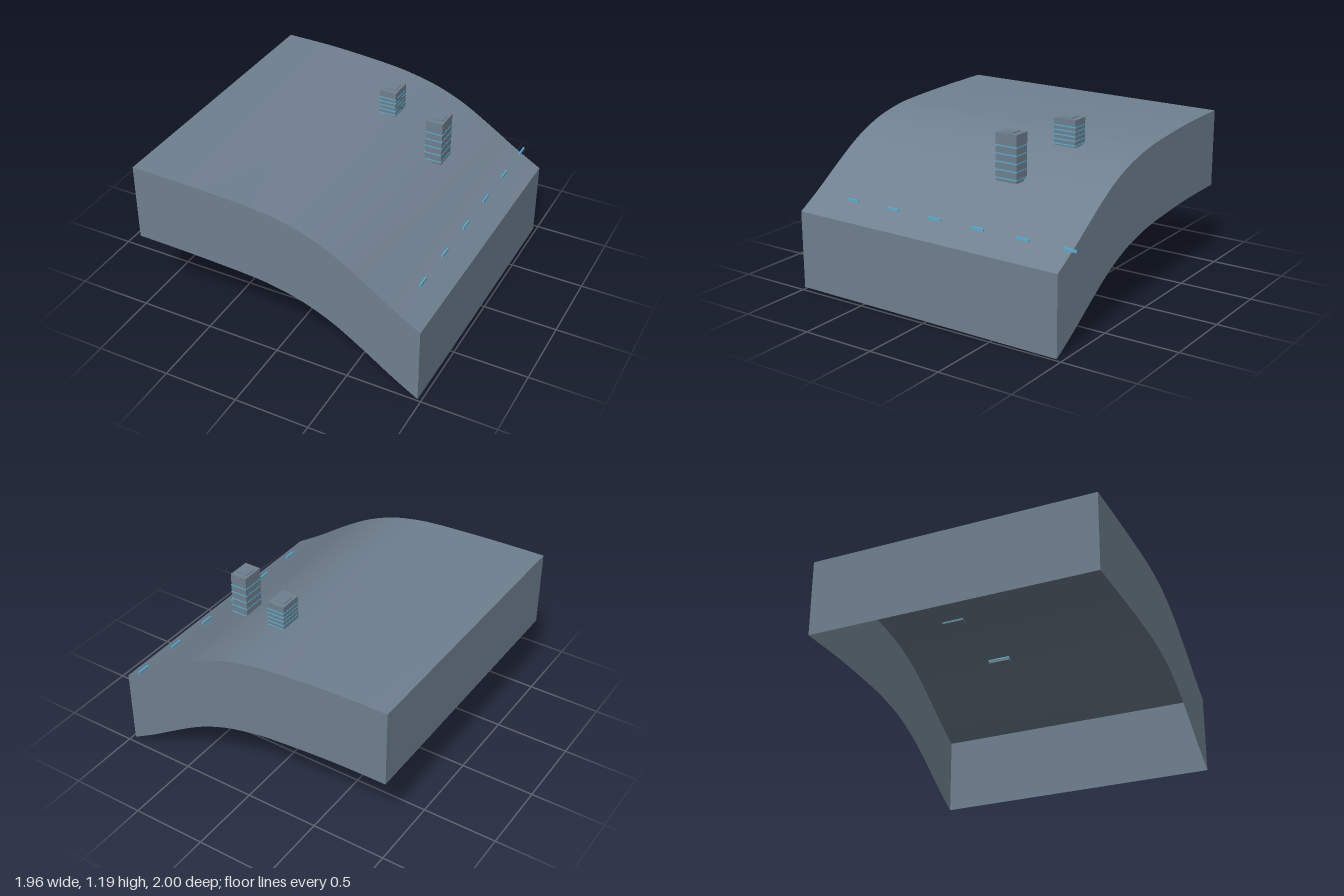
import * as THREE from 'three';

const slate = new THREE.MeshStandardMaterial({ color: 0x708090, side: THREE.DoubleSide });
slate.name = 'slate';
const skyBlue = new THREE.MeshStandardMaterial({ color: 0x5bb0d0 });
skyBlue.name = 'skyBlue';

const X0 = -0.98, X1 = 0.98, Z0 = -0.96, Z1 = 1, DEPTH = 0.523;

// Hillside profiles along the front and back edges: [x, height of lower rim]
const curve = (pts) => new THREE.SplineCurve(pts.map(([x, y]) => new THREE.Vector2(x, y)));
const frontRim = curve([[-0.98, 0.567], [-0.6, 0.56], [-0.2, 0.543], [0, 0.521], [0.2, 0.473],
  [0.4, 0.387], [0.6, 0.263], [0.8, 0.125], [0.98, 0.012]]);
const backRim = curve([[-0.98, 0.557], [-0.6, 0.55], [-0.2, 0.52], [0, 0.491], [0.2, 0.44],
  [0.4, 0.355], [0.6, 0.235], [0.8, 0.105], [0.98, 0]]);

// Point on the ground: u runs left to right, v runs back to front
function ground(u, v, drop = 0) {
  const f = frontRim.getPoint(u), b = backRim.getPoint(u);
  const x = THREE.MathUtils.lerp(b.x, f.x, v);
  const y = THREE.MathUtils.lerp(b.y, f.y, v);
  return [x, y + DEPTH - drop, THREE.MathUtils.lerp(Z0, Z1, v)];
}

// Sheet whose vertices follow a rule of (s, t), each from 0 to 1
function sheet(name, rule, sSteps, tSteps) {
  const geo = new THREE.PlaneGeometry(1, 1, sSteps, tSteps);
  const pos = geo.attributes.position;
  for (let i = 0; i < pos.count; i++) {
    pos.setXYZ(i, ...rule(pos.getX(i) + 0.5, pos.getY(i) + 0.5));
  }
  geo.computeVertexNormals();
  const mesh = new THREE.Mesh(geo, slate);
  mesh.name = name;
  return mesh;
}

function box(name, size, at, material) {
  const mesh = new THREE.Mesh(new THREE.BoxGeometry(...size), material);
  mesh.position.set(...at);
  mesh.name = name;
  return mesh;
}

// Tower block with a light band on every storey and a low roof plate
function tower(name, x, z, bottom, top) {
  const g = new THREE.Group();
  g.name = name;
  const w = 0.116, d = 0.156, h = top - bottom, storey = h / 6;
  g.add(box('towerBody', [w, h, d], [x, bottom + h / 2, z], slate));
  for (let i = 0; i < 5; i++) {
    g.add(box('windowBand', [w + 0.004, 0.008, d + 0.004],
      [x, bottom + storey * (i + 0.42), z], skyBlue));
  }
  g.add(box('roofPlate', [0.08, 0.006, 0.08], [x, top + 0.003, z], slate));
  return g;
}

export function createModel() {
  const model = new THREE.Group();
  model.name = 'hillsideBlock';

  // Curved ground and its four skirts, open underneath
  model.add(
    sheet('ground', (s, t) => ground(s, 1 - t), 64, 12),
    sheet('frontSkirt', (s, t) => ground(s, 1, DEPTH * (1 - t)), 64, 1),
    sheet('backSkirt', (s, t) => ground(1 - s, 0, DEPTH * (1 - t)), 64, 1),
    sheet('leftSkirt', (s, t) => ground(1, 1 - s, DEPTH * (1 - t)), 12, 1),
    sheet('rightSkirt', (s, t) => ground(0, s, DEPTH * (1 - t)), 12, 1),
  );

  model.add(tower('upperTower', 0.078, -0.47, 1.005, 1.182));
  model.add(tower('lowerTower', 0.487, -0.307, 0.845, 1.152));

  // Row of short rails along the foot of the slope
  for (let i = 0; i < 6; i++) {
    model.add(box('rail', [0.009, 0.018, 0.09], [0.842, 0.624 + i * 0.0015, -0.955 + i * 0.325], skyBlue));
  }
  return model;
}
